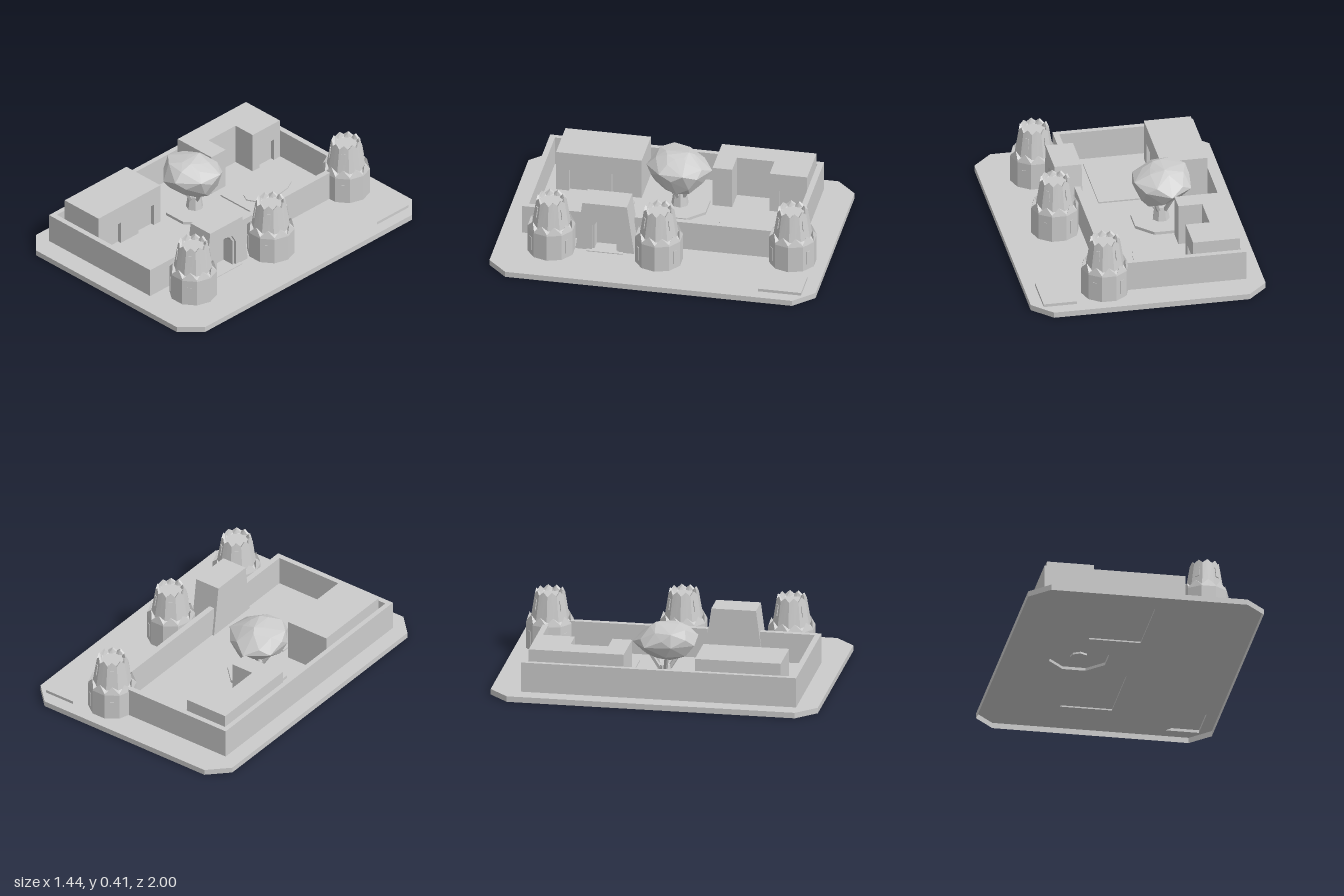
import * as THREE from 'three';
import { ConvexGeometry } from 'three/addons/geometries/ConvexGeometry.js';

const GROUND = 0.035;
const mat = new THREE.MeshStandardMaterial({ color: 0xcccccc, flatShading: true, side: THREE.DoubleSide });

function add(parent, name, geometry) {
  const mesh = new THREE.Mesh(geometry, mat);
  mesh.name = name;
  parent.add(mesh);
  return mesh;
}

// Box given by its limits on each axis
function block(parent, name, x0, x1, y0, y1, z0, z1) {
  const m = add(parent, name, new THREE.BoxGeometry(x1 - x0, y1 - y0, z1 - z0));
  m.position.set((x0 + x1) / 2, (y0 + y1) / 2, (z0 + z1) / 2);
  return m;
}

function polygon(points) {
  return new THREE.Shape(points.map(([a, b]) => new THREE.Vector2(a, b)));
}

function facets(positions) {
  const geo = new THREE.BufferGeometry();
  geo.setAttribute('position', new THREE.Float32BufferAttribute(positions, 3));
  geo.computeVertexNormals();
  return geo;
}

const planShape = (points) => polygon(points.map(([x, z]) => [x, -z]));
const rect = (x0, x1, z0, z1) => [[x0, z0], [x1, z0], [x1, z1], [x0, z1]];

// Plan outline in (x, z) raised from y0 to y1
function slab(parent, name, points, y0, y1) {
  const geo = new THREE.ExtrudeGeometry(planShape(points), { depth: y1 - y0, bevelEnabled: false });
  geo.rotateX(-Math.PI / 2);
  geo.translate(0, y0, 0);
  add(parent, name, geo);
}

// Thin skin with a rim, open underneath; outline clockwise seen from above
function tray(parent, name, points, y0, y1, holes = []) {
  const shape = planShape(points);
  shape.holes = holes.map(planShape);
  const top = new THREE.ShapeGeometry(shape);
  top.rotateX(-Math.PI / 2);
  top.translate(0, y1, 0);
  add(parent, name + 'Top', top);
  const pos = [];
  points.forEach(([ax, az], i) => {
    const [bx, bz] = points[(i + 1) % points.length];
    pos.push(ax, y0, az, bx, y1, bz, bx, y0, bz, ax, y0, az, ax, y1, az, bx, y1, bz);
  });
  add(parent, name + 'Rim', facets(pos));
}

// Elevation outline in (z, y) extruded from x0 to x1
function elevation(parent, name, points, x0, x1) {
  const geo = new THREE.ExtrudeGeometry(polygon(points.map(([z, y]) => [-z, y])), { depth: x1 - x0, bevelEnabled: false });
  geo.rotateY(Math.PI / 2);
  geo.translate(x0, 0, 0);
  add(parent, name, geo);
}

// Facade layer with rectangular doorways open at the ground
function facade(parent, name, z0, z1, doors) {
  const pts = [[z0, GROUND]];
  for (const [a, b, h] of doors) pts.push([a, GROUND], [a, h], [b, h], [b, GROUND]);
  pts.push([z1, GROUND], [z1, 0.295], [z0, 0.295]);
  elevation(parent, name, pts, -0.32, -0.297);
}

// Ten-sided rings; each row is [corner radius, corner y, mid-face radius, mid-face y]
function decagonRings(rows) {
  const pos = [];
  const at = ([rc, yc, rm, ym], k) => {
    const a = (k % 20) * Math.PI / 10, corner = k % 2 === 1, r = corner ? rc : rm;
    return [r * Math.sin(a), corner ? yc : ym, r * Math.cos(a)];
  };
  for (let i = 0; i < rows.length - 1; i++) {
    for (let k = 0; k < 20; k++) {
      const a = at(rows[i], k), b = at(rows[i], k + 1), c = at(rows[i + 1], k + 1), d = at(rows[i + 1], k);
      pos.push(...a, ...b, ...c, ...a, ...c, ...d);
    }
  }
  return facets(pos);
}

function makeTower(x, z) {
  const tower = new THREE.Group();
  tower.name = 'tower';
  const row = (r, y) => [r, y, r * Math.cos(Math.PI / 10), y];
  add(tower, 'lowerTier', decagonRings([
    row(0, GROUND), row(0.145, GROUND), [0.145, 0.203, 0.1379, 0.203], [0.143, 0.212, 0.124, 0.255],
    row(0.116, 0.225), row(0, 0.225),
  ]));
  add(tower, 'upperTier', decagonRings([
    row(0.122, 0.2), [0.0925, 0.38, 0.085, 0.405], [0.08, 0.375, 0.075, 0.4], row(0.069, 0.37), row(0, 0.37),
  ]));
  // Slit windows on the four diagonal faces
  for (const deg of [36, 144, 216, 324]) {
    const side = new THREE.Group();
    side.name = 'windows';
    side.rotation.y = THREE.MathUtils.degToRad(deg);
    block(side, 'lowerWindow', -0.013, 0.013, 0.07, 0.157, 0.13, 0.141);
    block(side, 'upperWindow', -0.012, 0.012, 0.285, 0.352, 0.091, 0.103).rotation.x = -0.155;
    tower.add(side);
  }
  tower.position.set(x, 0, z);
  return tower;
}

function makeGate() {
  const gate = new THREE.Group();
  gate.name = 'gatehouse';
  const mid = 0.34;
  // Faceted pointed arch, drawn from the low z foot to the high z foot
  const arch = (w, spring, top) => [
    [mid - w, GROUND], [mid - w, spring], [mid - w * 0.62, spring + (top - spring) * 0.72], [mid, top],
    [mid + w * 0.62, spring + (top - spring) * 0.72], [mid + w, spring], [mid + w, GROUND],
  ];
  const shell = [[0.52, GROUND], [0.478, 0.355], [0.205, 0.355], [0.16, GROUND]];
  elevation(gate, 'gateBack', shell, 0.195, 0.27);
  elevation(gate, 'innerArch', [...shell, ...arch(0.067, 0.2, 0.255)], 0.27, 0.345);
  elevation(gate, 'outerArch', [...shell, ...arch(0.079, 0.205, 0.272)], 0.345, 0.362);
  block(gate, 'doorstep', 0.35, 0.385, GROUND, 0.04, 0.228, 0.452);
  return gate;
}

function makeTree() {
  const tree = new THREE.Group();
  tree.name = 'tree';
  add(tree, 'trunk', new THREE.CylinderGeometry(0.04, 0.055, 0.1, 7)).position.y = 0.09;
  for (let i = 0; i < 5; i++) {
    const a = i * Math.PI * 2 / 5;
    const path = new THREE.LineCurve3(
      new THREE.Vector3(0.02 * Math.sin(a), 0.1, 0.02 * Math.cos(a)),
      new THREE.Vector3(0.1 * Math.sin(a), 0.23, 0.1 * Math.cos(a)));
    add(tree, 'branch', new THREE.TubeGeometry(path, 1, 0.014, 5));
  }
  // Crown: irregular stacked rings [y, radius x, radius z, shift x, shift z, turn]
  const rings = [
    [0.185, 0.09, 0.09, 0.03, 0, 0], [0.225, 0.145, 0.15, 0, 0.01, 0.3], [0.29, 0.185, 0.19, -0.01, 0.005, 0.1],
    [0.33, 0.183, 0.175, 0.002, 0.02, 0.5], [0.38, 0.13, 0.12, -0.03, 0.035, 0.2], [0.4, 0.06, 0.07, 0, 0.02, 0],
  ];
  const pts = [];
  rings.forEach(([y, rx, rz, sx, sz, turn], j) => {
    for (let i = 0; i < 7; i++) {
      const a = i * Math.PI * 2 / 7 + turn, k = 1 + 0.05 * Math.sin(i * 2.3 + j * 1.7);
      pts.push(new THREE.Vector3(sx + rx * k * Math.cos(a), y + 0.007 * Math.sin(i * 1.9 + j), sz + rz * k * Math.sin(a)));
    }
  });
  add(tree, 'crown', new ConvexGeometry(pts));
  tree.position.set(-0.25, 0, 0);
  return tree;
}

export function createModel() {
  const model = new THREE.Group();
  model.name = 'walledCourtyard';

  // Raised thin areas: corner marker, two beds and the octagonal planter
  const marker = [[0.445, -0.92], [0.648, -0.92], [0.648, -0.655]];
  const beds = [rect(-0.241, 0.077, -0.7, -0.21), rect(-0.241, 0.077, 0.275, 0.765)];
  const planter = Array.from({ length: 8 }, (_, i) => {
    const a = (i + 0.5) * Math.PI / 4;
    return [-0.25 + 0.185 * Math.cos(a), 0.185 * Math.sin(a)];
  });
  tray(model, 'cornerMarker', marker, GROUND, 0.053);
  for (const bed of beds) tray(model, 'courtyardBed', bed, GROUND, 0.044);
  tray(model, 'planter', planter, GROUND, 0.053);

  // Chamfered ground, open underneath
  tray(model, 'base', [
    [-0.6, -1], [0.6, -1], [0.72, -0.88], [0.72, 0.88], [0.6, 1], [-0.6, 1], [-0.72, 0.88], [-0.72, -0.88],
  ], 0, GROUND, [marker, ...beds, planter]);

  // Enclosing wall, open at the gate
  slab(model, 'wall', [
    [0.244, 0.18], [0.244, -0.81], [-0.618, -0.81], [-0.618, 0.87], [0.244, 0.87], [0.244, 0.5],
    [0.208, 0.5], [0.208, 0.835], [-0.587, 0.835], [-0.587, -0.775], [0.208, -0.775], [0.208, 0.18],
  ], GROUND, 0.22);

  for (const [x, z] of [[0.248, -0.79], [0.399, 0], [0.399, 0.66]]) model.add(makeTower(x, z));
  model.add(makeGate());

  // Notched house at the back
  const house = new THREE.Group();
  house.name = 'backHouse';
  slab(house, 'houseBody', [
    [-0.585, -0.77], [-0.32, -0.77], [-0.32, -0.54], [-0.443, -0.54],
    [-0.443, -0.31], [-0.32, -0.31], [-0.32, -0.19], [-0.585, -0.19],
  ], GROUND, 0.295);
  facade(house, 'northFacade', -0.77, -0.54, [[-0.72, -0.6, 0.18]]);
  facade(house, 'southFacade', -0.31, -0.19, []);
  model.add(house);

  // Plain house at the front
  const hall = new THREE.Group();
  hall.name = 'frontHouse';
  block(hall, 'hallBody', -0.585, -0.32, GROUND, 0.295, 0.245, 0.77);
  facade(hall, 'hallFacade', 0.245, 0.77, [[0.3, 0.43, 0.18], [0.58, 0.69, 0.18]]);
  model.add(hall);

  // Oval pool in the back bed
  const pool = add(model, 'pool', new THREE.CylinderGeometry(1, 1, 0.008, 12));
  pool.scale.set(0.095, 1, 0.18);
  pool.position.set(-0.085, 0.048, -0.455);

  model.add(makeTree());
  return model;
}
